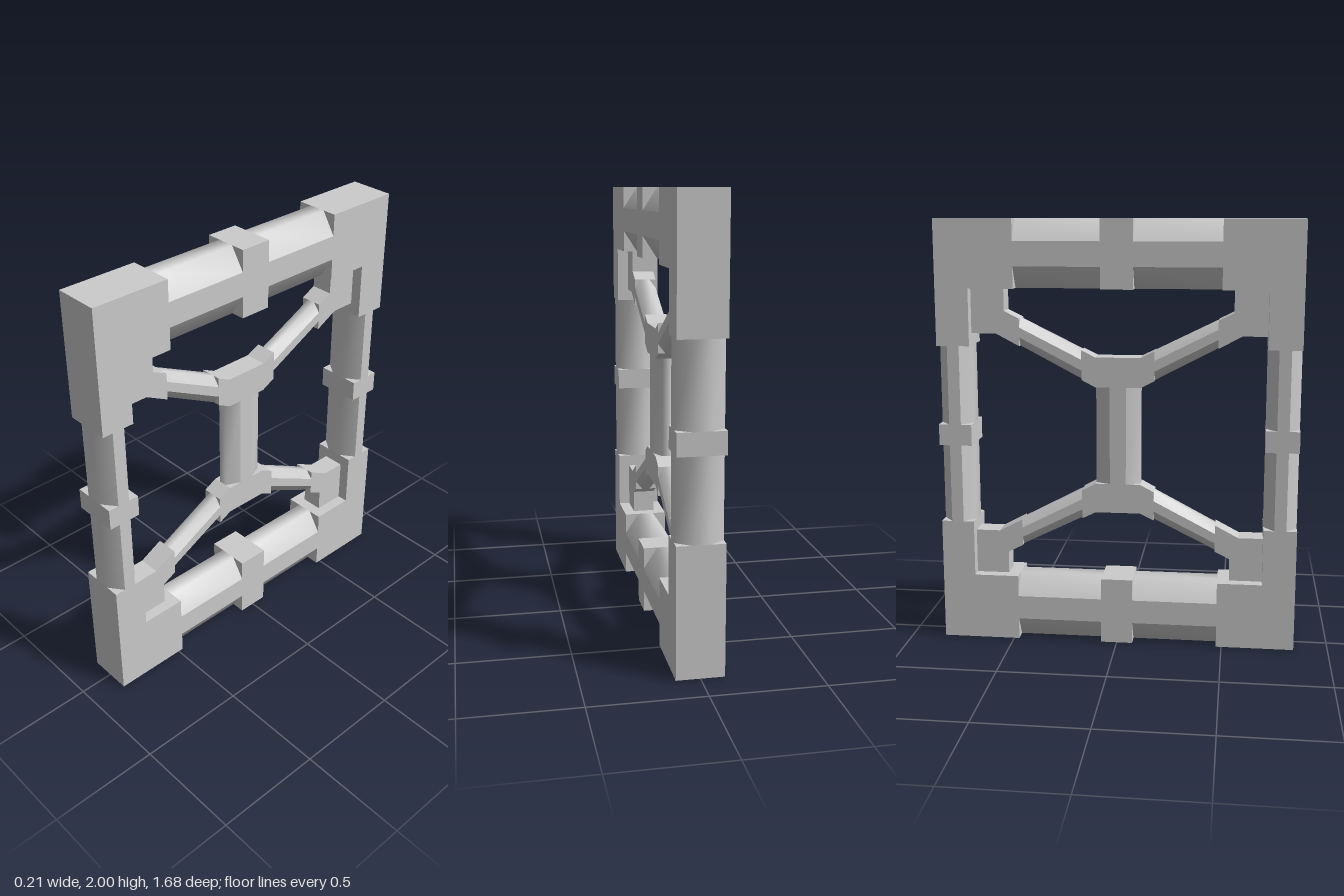
import * as THREE from 'three';
import { mergeGeometries } from 'three/addons/utils/BufferGeometryUtils.js';

const grey = new THREE.MeshStandardMaterial({ color: 0xcccccc });
const FRAME = 0.105; // half thickness of the outer frame
const BRACE = 0.0525; // half thickness of the inner brace

// Flat plate: outline given as [z, y] points, extruded along x
function plate(name, points, half) {
  const shape = new THREE.Shape(points.map(([z, y]) => new THREE.Vector2(z, y)));
  const geo = new THREE.ExtrudeGeometry(shape, { depth: 2 * half, bevelEnabled: false });
  geo.rotateY(-Math.PI / 2).translate(half, 0, 0);
  const mesh = new THREE.Mesh(geo, grey);
  mesh.name = name;
  return mesh;
}

// Chamfered bar between two cross-sections, each running from edge a to edge b ([z, y])
function bar(name, a0, b0, a1, b1, half) {
  const turn = (a1[0] - a0[0]) * (b0[1] - a0[1]) - (a1[1] - a0[1]) * (b0[0] - a0[0]);
  if (turn < 0) [a0, b0, a1, b1] = [a1, b1, a0, b0];
  const n = half * 0.37, f = 0.32;
  const ring = [[-n, 0], [n, 0], [half, f], [half, 1 - f], [n, 1], [-n, 1], [-half, 1 - f], [-half, f]];
  const at = (i, a, b) => {
    const [x, t] = ring[i];
    return [x, a[1] + (b[1] - a[1]) * t, a[0] + (b[0] - a[0]) * t];
  };
  // Chamfers blend smoothly into the edge faces; the side faces stay flat
  const strips = [[7, 0, 1, 2], [3, 4, 5, 6], [2, 3], [6, 7]].map((ids) => {
    const pos = [], index = [];
    ids.forEach((id, k) => {
      pos.push(...at(id, a0, b0), ...at(id, a1, b1));
      if (k) {
        const p = 2 * k - 2;
        index.push(p, p + 2, p + 3, p, p + 3, p + 1);
      }
    });
    const geo = new THREE.BufferGeometry();
    geo.setAttribute('position', new THREE.Float32BufferAttribute(pos, 3));
    geo.setIndex(index);
    geo.computeVertexNormals();
    return geo;
  });
  const mesh = new THREE.Mesh(mergeGeometries(strips), grey);
  mesh.name = name;
  return mesh;
}

const rect = (z0, y0, z1, y1) => [[z0, y0], [z1, y0], [z1, y1], [z0, y1]];

export function createModel() {
  const model = new THREE.Group();
  model.name = 'bracedWindowFrame';

  for (const sy of [1, -1]) {
    // Points are written for the upper half, measured from mid height
    const P = (z, y) => [z, 1 + sy * y];
    const map = (pts, sz) => pts.map(([z, y]) => P(sz * z, y));

    // Collar in the middle of the rail, and the hub joining two arms
    model.add(plate('railCollar', map(rect(-0.075, 0.685, 0.075, 1), 1), FRAME));
    model.add(plate('braceHub', map([
      [-0.17, 0.264], [-0.105, 0.23], [0.105, 0.23], [0.17, 0.264],
      [0.17, 0.402], [0.105, 0.37], [-0.105, 0.37], [-0.17, 0.402],
    ], 1), BRACE));

    for (const sz of [1, -1]) {
      const Q = (z, y) => P(sz * z, y);

      // L-shaped frame corner
      model.add(plate('frameCorner', map([
        [0.84, 1], [0.475, 1], [0.475, 0.685], [0.685, 0.685], [0.685, 0.42], [0.84, 0.42],
      ], sz), FRAME));

      // Chamfered rail and stile sections
      model.add(bar('rail', Q(0.075, 0.685), Q(0.075, 1), Q(0.475, 0.685), Q(0.475, 1), FRAME));
      model.add(bar('stile', Q(0.685, 0.05), Q(0.84, 0.05), Q(0.685, 0.42), Q(0.84, 0.42), FRAME));

      // Diagonal arm and the bracket that ties it into the corner
      model.add(bar('braceArm', Q(0.17, 0.264), Q(0.17, 0.402), Q(0.46, 0.417), Q(0.46, 0.545), BRACE));
      model.add(plate('braceBracket', map([
        [0.46, 0.417], [0.57, 0.475], [0.685, 0.475], [0.685, 0.685],
        [0.53, 0.685], [0.53, 0.58], [0.46, 0.545],
      ], sz), BRACE));
    }
  }

  // Collars halfway up the stiles
  for (const sz of [1, -1]) {
    model.add(plate('stileCollar', rect(sz * 0.685, 0.95, sz * 0.84, 1.05), FRAME));
  }

  // Central post
  model.add(bar('centrePost', [-0.105, 0.77], [0.105, 0.77], [-0.105, 1.23], [0.105, 1.23], BRACE));

  return model;
}
